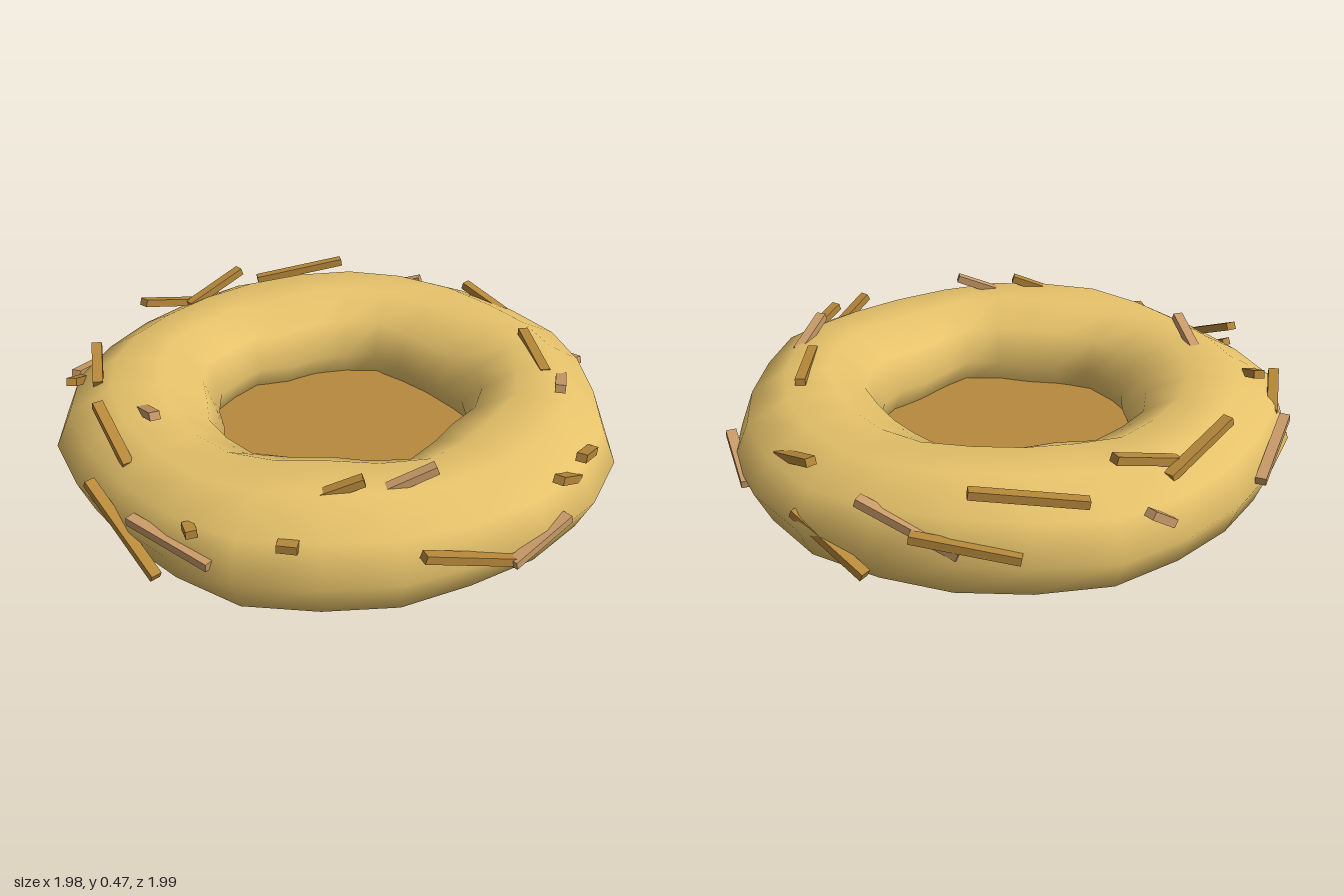
import * as THREE from 'three';

const material = (color) => new THREE.MeshStandardMaterial({ color });

// Lumpy ring: outer and inner radius every 15 degrees, from +x towards +z
const OUTER = [0.99, 0.965, 0.985, 0.985, 1.01, 0.98, 0.97, 0.98, 1.01, 1.0, 0.97, 0.97,
  0.98, 1.01, 0.985, 0.98, 0.98, 1.01, 1.0, 0.995, 0.965, 0.96, 1.0, 1.0];
const INNER = [0.43, 0.48, 0.45, 0.42, 0.44, 0.47, 0.455, 0.45, 0.42, 0.44, 0.465, 0.45,
  0.45, 0.4, 0.43, 0.45, 0.47, 0.43, 0.42, 0.43, 0.47, 0.47, 0.45, 0.41];

function ringGeometry(sides = 10) {
  const n = OUTER.length, positions = [], index = [];
  for (let i = 0; i < n; i++) {
    const t = (i / n) * Math.PI * 2;
    const mid = (OUTER[i] + INNER[i]) / 2, half = (OUTER[i] - INNER[i]) / 2;
    const tall = 0.21 - 0.012 * Math.cos(4 * t);
    for (let j = 0; j < sides; j++) {
      const p = (j / sides) * Math.PI * 2;
      const r = mid + half * Math.cos(p);
      positions.push(r * Math.cos(t), 0.22 + tall * Math.sin(p), r * Math.sin(t));
      const k = (j + 1) % sides, a = i * sides, b = ((i + 1) % n) * sides;
      index.push(a + j, a + k, b + j, a + k, b + k, b + j);
    }
  }
  const geometry = new THREE.BufferGeometry();
  geometry.setAttribute('position', new THREE.Float32BufferAttribute(positions, 3));
  geometry.setIndex(index);
  geometry.computeVertexNormals();
  return geometry;
}

// Straws as start and end points: x, y, z, x, y, z
const DARK_STRAWS = [
  // back
  [-0.48, 0.13, -0.86, -0.22, 0.26, -0.96],
  [-0.2, 0.4, -0.88, 0, 0.34, -0.9],
  [-0.82, 0.25, -0.52, -0.6, 0.3, -0.77],
  [-0.85, 0.38, -0.3, -0.67, 0.43, -0.61],
  [0.27, 0.43, -0.69, 0.52, 0.42, -0.52],
  // model's right
  [-0.81, 0.47, -0.18, -0.82, 0.39, 0.07],
  [-0.86, 0.37, 0, -0.82, 0.47, 0.28],
  // front
  [-0.68, 0.33, 0.64, -0.56, 0.41, 0.76],
  [-0.64, 0.47, 0.6, -0.5, 0.4, 0.69],
  [-0.28, 0.47, 0.82, -0.05, 0.36, 0.86],
  [-0.12, 0.31, 0.97, 0.23, 0.13, 0.965],
  [0.3, 0.33, 0.88, 0.35, 0.33, 0.9],
  [0.57, 0.34, 0.75, 0.62, 0.34, 0.71],
  // model's left
  [0.52, 0.4, 0.59, 0.62, 0.46, 0.45],
  [0.87, 0.31, 0.44, 0.97, 0.2, 0.14],
  [0.87, 0.34, -0.35, 0.92, 0.39, -0.22],
  [0.91, 0.31, -0.22, 0.95, 0.39, -0.07],
];
const PALE_STRAWS = [
  [0.11, 0.2, -0.98, 0.37, 0.26, -0.92],
  [-0.7, 0.25, -0.66, -0.42, 0.36, -0.84],
  [0.56, 0.41, -0.56, 0.68, 0.47, -0.4],
  [-0.96, 0.35, -0.16, -0.95, 0.28, -0.06],
  [-0.9, 0.25, 0.37, -0.73, 0.33, 0.65],
  [-0.28, 0.39, 0.66, -0.09, 0.47, 0.72],
  [0.1, 0.28, 0.96, 0.42, 0.25, 0.89],
  [0.65, 0.41, 0.39, 0.73, 0.47, 0.25],
  [0.98, 0.2, 0.16, 0.98, 0.25, -0.1],
];

function straw([x1, y1, z1, x2, y2, z2], mat) {
  const a = new THREE.Vector3(x1, y1, z1), b = new THREE.Vector3(x2, y2, z2);
  const mesh = new THREE.Mesh(new THREE.BoxGeometry(0.036, 0.028, a.distanceTo(b)), mat);
  mesh.position.copy(a).add(b).multiplyScalar(0.5);
  mesh.lookAt(b);
  mesh.name = 'straw';
  return mesh;
}

export function createModel() {
  const model = new THREE.Group();
  model.name = 'nest';

  const rim = new THREE.Mesh(ringGeometry(), material(0xe6c26a));
  rim.name = 'rim';

  // Flat floor whose edge is buried in the rim
  const floor = new THREE.Mesh(new THREE.CylinderGeometry(0.6, 0.6, 0.06, 24), material(0xb8893f));
  floor.position.y = 0.105;
  floor.name = 'floor';

  // Loose straws lying on and poking out of the rim
  const straws = new THREE.Group();
  straws.name = 'straws';
  const dark = material(0xb5873a), pale = material(0xc89a68);
  DARK_STRAWS.forEach((s) => straws.add(straw(s, dark)));
  PALE_STRAWS.forEach((s) => straws.add(straw(s, pale)));

  model.add(rim, floor, straws);
  return model;
}
